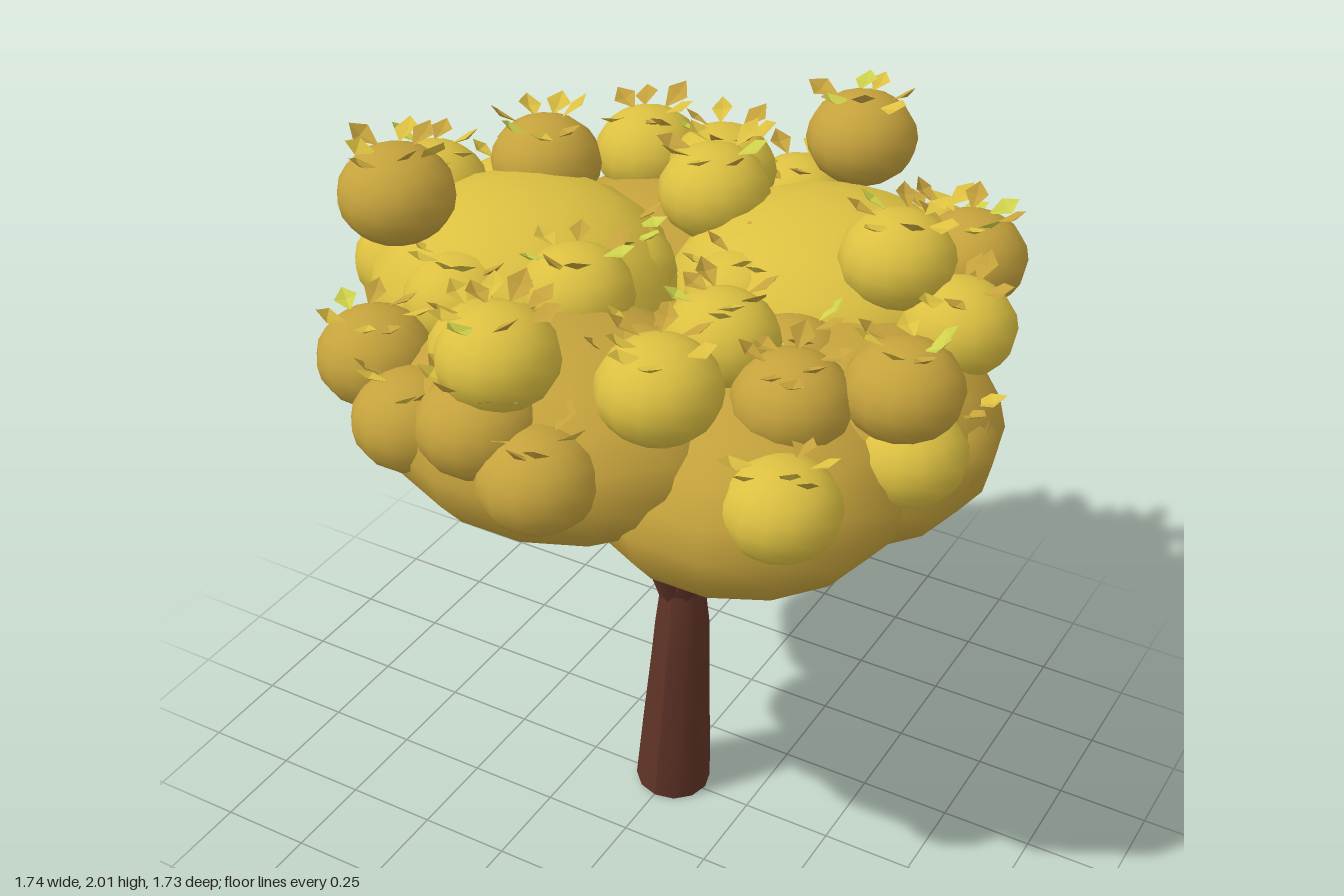
import * as THREE from 'three';

const material = (name, color, side = THREE.FrontSide) => {
  const m = new THREE.MeshStandardMaterial({ color, side });
  m.name = name;
  return m;
};

// Round limb along a smooth curve, tapering through the given radii
function limb(points, radii, sides, segments) {
  const curve = new THREE.CatmullRomCurve3(points.map((p) => new THREE.Vector3(...p)));
  const geo = new THREE.TubeGeometry(curve, segments, 1, sides);
  const pos = geo.attributes.position;
  const v = new THREE.Vector3();
  for (let i = 0; i <= segments; i++) {
    const centre = curve.getPointAt(i / segments);
    const t = (i / segments) * (radii.length - 1);
    const k = Math.min(Math.floor(t), radii.length - 2);
    const r = THREE.MathUtils.lerp(radii[k], radii[k + 1], t - k);
    for (let j = 0; j <= sides; j++) {
      const n = i * (sides + 1) + j;
      v.fromBufferAttribute(pos, n).sub(centre).multiplyScalar(r).add(centre);
      pos.setXYZ(n, v.x, v.y, v.z);
    }
  }
  geo.computeVertexNormals();
  return geo;
}

// Pointed leaf folded along its middle, growing along +z from the origin
function leafGeometry() {
  const geo = new THREE.BufferGeometry();
  const base = [0, 0, 0], tip = [0, 0.014, 0.1], fold = [0, -0.005, 0.06];
  const left = [0.036, 0.006, 0.06], right = [-0.036, 0.006, 0.06];
  const faces = [base, fold, left, left, fold, tip, base, right, fold, right, tip, fold];
  geo.setAttribute('position', new THREE.Float32BufferAttribute(faces.flat(), 3));
  geo.computeVertexNormals();
  return geo;
}

export function createModel() {
  const tree = new THREE.Group();
  tree.name = 'tree';
  const bark = material('bark brown', 0x603327);
  const gold = material('foliage gold', 0xdcc041);
  const ochre = material('foliage ochre', 0xc5a23c);
  const leafGold = material('leaf gold', 0xdcc041, THREE.DoubleSide);
  const leafOchre = material('leaf ochre', 0xc5a23c, THREE.DoubleSide);
  const leafLime = material('leaf lime', 0xcdd04a, THREE.DoubleSide);

  let seed = 7;
  const random = () => (seed = (seed * 16807) % 2147483647) / 2147483647;

  const add = (name, geo, mat, parent = tree) => {
    const mesh = new THREE.Mesh(geo, mat);
    mesh.name = name;
    parent.add(mesh);
    return mesh;
  };

  // Trunk, leaning slightly to its left, with a rounded shoulder
  add('trunk', limb([[0.005, 0, -0.01], [0.025, 0.3, 0], [0.045, 0.62, 0.01], [0.042, 0.77, 0.01]],
    [0.105, 0.095, 0.084, 0.074, 0.052], 12, 8), bark);
  const base = add('trunkBase', new THREE.CircleGeometry(0.105, 12), bark);
  base.rotation.x = Math.PI / 2;
  base.position.set(0.005, 0.002, -0.01);

  // Branches fanning out into the crown
  const branchTips = [
    [-0.32, 1.34, 0.05], [-0.2, 1.28, -0.22], [-0.25, 1.3, -0.32], [0.16, 1.32, -0.34],
    [0.3, 1.17, -0.06], [0.27, 1.18, 0.2], [-0.04, 1.3, 0.3], [-0.14, 1.27, 0.16], [0, 1.5, -0.01],
  ];
  branchTips.forEach(([x, y, z]) => {
    const path = [[0.035 + x * 0.05, 0.68, 0.01 + z * 0.05], [0.03 + x * 0.38, 0.92, z * 0.4], [x, y, z]];
    add('branch', limb(path, [0.043, 0.037, 0.032], 8, 6), bark);
  });
  const stemTip = add('stemTip', new THREE.CircleGeometry(0.032, 8), bark);
  stemTip.rotation.x = -Math.PI / 2;
  stemTip.position.set(0, 1.5, -0.01);

  // Large foliage masses: x, y, z, half width, half height, half depth
  const ball = new THREE.SphereGeometry(1, 14, 10);
  const masses = [
    [-0.4, 1.52, 0.05, 0.4, 0.26, 0.4, gold],
    [0.26, 1.485, -0.34, 0.41, 0.25, 0.4, gold],
    [-0.07, 1.42, 0.4, 0.45, 0.25, 0.4, ochre],
    [-0.26, 1.37, -0.42, 0.4, 0.25, 0.4, ochre],
    [0.46, 1.33, -0.04, 0.4, 0.27, 0.4, ochre],
    [0.34, 1.31, 0.23, 0.41, 0.26, 0.41, ochre],
  ];
  masses.forEach(([x, y, z, w, h, d, mat]) => {
    const m = add('foliageMass', ball, mat);
    m.position.set(x, y, z);
    m.scale.set(w, h, d);
  });

  // Small foliage tufts grouped by colour: x, y, z
  const goldTufts = [
    [-0.15, 1.65, -0.54], [-0.01, 1.52, -0.72], [0.45, 1.54, -0.59], [0.5, 1.7, -0.23],
    [0.67, 1.56, -0.23], [-0.06, 1.7, -0.33], [0.25, 1.62, 0.2], [0.55, 1.4, 0.46],
    [0.31, 1.71, 0.59], [-0.07, 1.71, 0.65], [-0.21, 1.6, 0.49], [-0.14, 1.64, 0.21],
    [-0.4, 1.63, -0.58], [-0.65, 1.55, -0.27], [-0.73, 1.67, -0.04], [-0.69, 1.55, 0.13],
    [0.71, 1.41, 0.13], [-0.18, 1.57, -0.06], [-0.4, 1.6, 0.32], [0.14, 1.55, -0.11],
  ];
  const ochreTufts = [
    [-0.58, 1.84, 0.31], [0.2, 1.78, -0.65], [0.59, 1.61, -0.48], [0.69, 1.58, 0.13],
    [0.47, 1.55, 0.26], [-0.1, 1.55, 0.7], [0.07, 1.47, 0.72], [-0.33, 1.46, 0.64],
    [-0.5, 1.53, 0.54], [-0.49, 1.73, -0.21], [-0.17, 1.43, -0.73], [-0.51, 1.4, -0.51],
    [0.72, 1.35, -0.03], [0.36, 1.5, 0.04], [0.1, 1.535, 0.32],
  ];
  const leaf = leafGeometry();
  const leafColours = [leafGold, leafOchre, leafGold, leafLime, leafOchre, leafGold, leafOchre];
  const tuft = (mat) => ([x, y, z]) => {
    const group = new THREE.Group();
    group.name = 'foliageTuft';
    group.position.set(x, y, z);
    tree.add(group);
    add('tuftBall', ball, mat, group).scale.set(0.145, 0.122, 0.145);
    // Ring of leaves rising from the upper half
    const turn = random() * 6.28;
    for (let i = 0; i < 7; i++) {
      const a = turn + (i / 7) * Math.PI * 2 + (random() - 0.5) * 0.4;
      const r = 0.04 + random() * 0.035;
      const blade = add('leaf', leaf, leafColours[Math.floor(random() * 7)], group);
      blade.rotation.order = 'YXZ';
      blade.position.set(Math.sin(a) * r, 0.122 * Math.sqrt(1 - (r / 0.145) ** 2) - 0.005, Math.cos(a) * r);
      blade.rotation.set(-0.1 - random() * 0.45, a + (random() - 0.5) * 1.4, (random() - 0.5) * 0.7);
      blade.scale.setScalar(0.75 + random() * 0.2);
    }
  };
  goldTufts.forEach(tuft(gold));
  ochreTufts.forEach(tuft(ochre));

  return tree;
}
